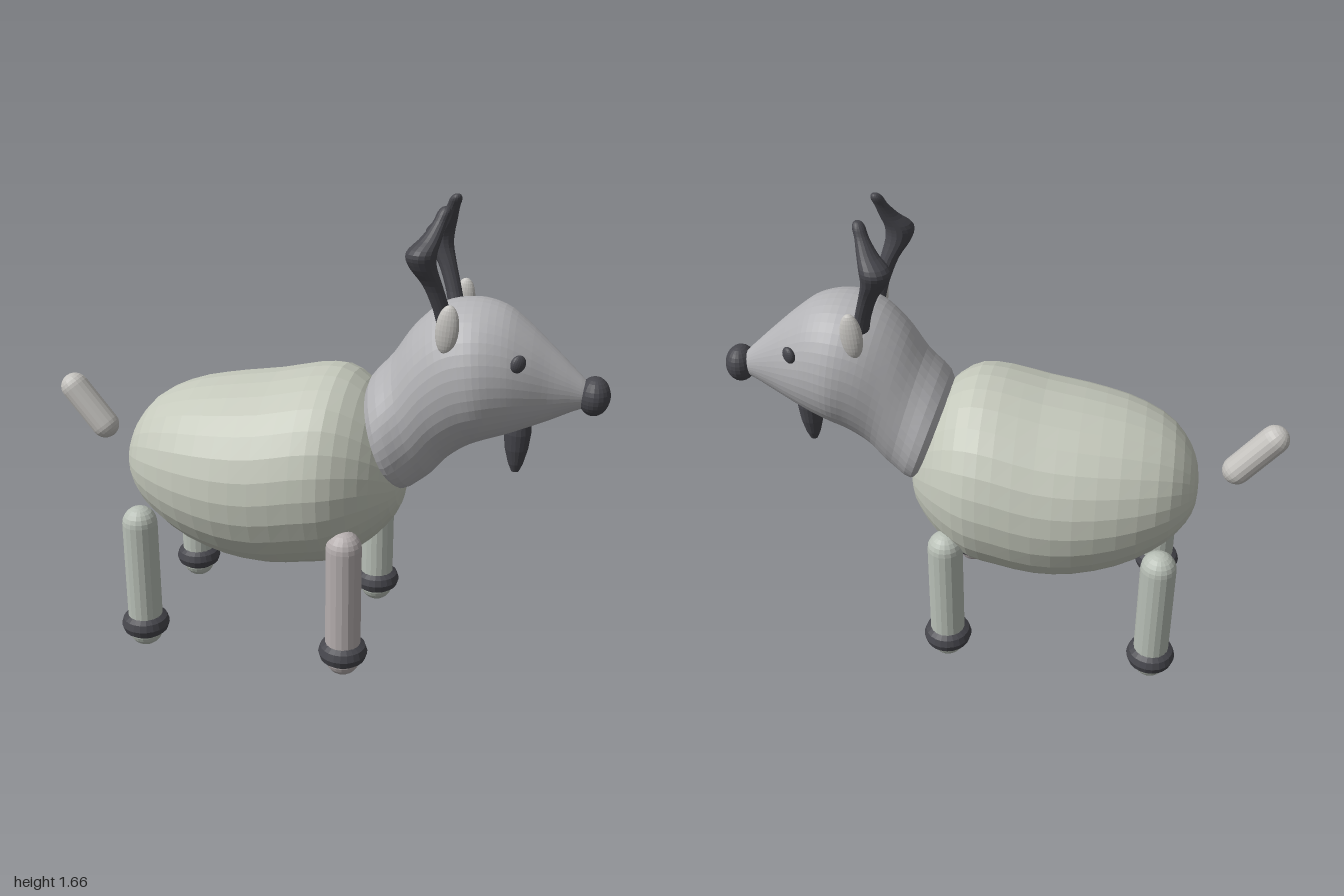
import * as THREE from 'three';

const paint = (color) => new THREE.MeshStandardMaterial({ color, flatShading: true });
const fleece = paint(0xc4c8bb), skin = paint(0xb2b2b5), dark = paint(0x46464c);
const pale = paint(0xc4c2be), rosy = paint(0xb5aeae), sage = paint(0xb8bfb6);

function add(parent, name, geometry, material, position = [0, 0, 0], rotation = [0, 0, 0], scale = [1, 1, 1]) {
  const mesh = new THREE.Mesh(geometry, material);
  mesh.name = name;
  mesh.position.set(...position);
  mesh.rotation.set(...rotation);
  mesh.scale.set(...scale);
  parent.add(mesh);
  return mesh;
}

// Smooth skin over elliptical rings: [topX, topY, bottomX, bottomY, halfWidth, centreZ]
function loft(rings, along, around) {
  const top = new THREE.CatmullRomCurve3(rings.map(r => new THREE.Vector3(r[0], r[1], r[4])), false, 'catmullrom');
  const bottom = new THREE.CatmullRomCurve3(rings.map(r => new THREE.Vector3(r[2], r[3], r[5] || 0)), false, 'catmullrom');
  const points = [], index = [];
  for (let i = 0; i <= along; i++) {
    const t = top.getPoint(i / along), b = bottom.getPoint(i / along);
    for (let j = 0; j < around; j++) {
      const a = j / around * Math.PI * 2, k = Math.cos(a) / 2;
      points.push((t.x + b.x) / 2 + (t.x - b.x) * k, (t.y + b.y) / 2 + (t.y - b.y) * k, b.z + t.z * Math.sin(a));
      if (i === along) continue;
      const p = i * around + j, q = i * around + (j + 1) % around;
      index.push(p, q, p + around, q, q + around, p + around);
    }
  }
  const geometry = new THREE.BufferGeometry();
  geometry.setAttribute('position', new THREE.Float32BufferAttribute(points, 3));
  geometry.setIndex(index);
  geometry.computeVertexNormals();
  return geometry;
}

export function createModel() {
  const model = new THREE.Group();
  model.name = 'hornedAnimal';

  // Barrel-shaped body with a raised shoulder
  add(model, 'body', loft([
    [-0.708, 0.67, -0.708, 0.67, 0],
    [-0.7, 0.74, -0.7, 0.6, 0.09],
    [-0.665, 0.82, -0.665, 0.53, 0.17],
    [-0.59, 0.9, -0.59, 0.455, 0.255],
    [-0.46, 0.96, -0.46, 0.375, 0.325],
    [-0.3, 0.995, -0.3, 0.325, 0.37],
    [-0.15, 1.02, -0.15, 0.31, 0.382],
    [0, 1.055, 0, 0.33, 0.375],
    [0.1, 1.055, 0.1, 0.35, 0.355],
    [0.19, 0.995, 0.19, 0.41, 0.295],
    [0.255, 0.9, 0.26, 0.48, 0.22],
    [0.305, 0.78, 0.31, 0.56, 0.13],
    [0.322, 0.66, 0.322, 0.66, 0],
  ], 26, 28), fleece);

  // Neck and head in one flowing form, tapering to the muzzle
  add(model, 'neckAndHead', loft([
    [0.245, 0.825, 0.245, 0.825, 0],
    [0.18, 1.0, 0.31, 0.65, 0.2],
    [0.27, 1.13, 0.4, 0.69, 0.2],
    [0.34, 1.235, 0.47, 0.77, 0.205],
    [0.43, 1.315, 0.54, 0.825, 0.22],
    [0.54, 1.34, 0.6, 0.855, 0.225],
    [0.64, 1.32, 0.67, 0.88, 0.195],
    [0.72, 1.265, 0.73, 0.905, 0.155],
    [0.8, 1.195, 0.8, 0.935, 0.105],
    [0.87, 1.13, 0.87, 0.97, 0.065],
    [0.93, 1.07, 0.93, 1.0, 0.03],
    [0.94, 1.035, 0.94, 1.035, 0],
  ], 44, 40), skin);

  const ball = new THREE.SphereGeometry(1, 20, 14);
  add(model, 'nose', ball, dark, [0.947, 1.033, 0], [0, 0, 0], [0.053, 0.067, 0.065]);

  // Pointed beard under the chin
  const beard = [[0, 0.73], [0.013, 0.735], [0.026, 0.765], [0.04, 0.82], [0.047, 0.88], [0.045, 0.92], [0.03, 0.95], [0, 0.96]];
  add(model, 'beard', new THREE.LatheGeometry(beard.map(p => new THREE.Vector2(...p)), 18), dark, [0.704, 0, 0]);

  // Horn centre line: [x, y, z, radius]
  const horn = [
    [0.465, 1.25, 0.11, 0], [0.464, 1.255, 0.112, 0.027], [0.445, 1.33, 0.13, 0.028], [0.418, 1.41, 0.15, 0.032],
    [0.388, 1.475, 0.172, 0.045], [0.384, 1.52, 0.178, 0.05], [0.41, 1.565, 0.156, 0.034],
    [0.43, 1.61, 0.133, 0.023], [0.441, 1.64, 0.12, 0.021], [0.445, 1.655, 0.115, 0.012], [0.446, 1.658, 0.115, 0],
  ];
  const legShape = new THREE.CapsuleGeometry(0.063, 0.434, 6, 18);
  const band = new THREE.TorusGeometry(0.046, 0.042, 10, 22);

  for (const side of [1, -1]) {
    const label = side > 0 ? 'nearSide' : 'farSide';
    add(model, label + 'Eye', ball, dark, [0.705, 1.175, side * 0.163], [0, side * 0.55, -0.3], [0.026, 0.03, 0.016]);
    add(model, label + 'Ear', ball, pale, [0.475, 1.277, side * 0.182], [0, 0, -0.08], [0.038, 0.082, 0.023]);
    add(model, label + 'Horn', loft(horn.map(([x, y, z, r]) => [x - r, y, x + r, y, r, side * z]), 36, 16), dark);

    // Legs with a dark band just above each rounded foot
    for (const [end, x] of [['Front', 0.165], ['Rear', -0.59]]) {
      const leg = new THREE.Group();
      leg.name = label + end + 'Leg';
      leg.position.set(x, 0, side * 0.277);
      add(leg, 'leg', legShape, side > 0 && end === 'Front' ? rosy : sage, [0, 0.282, 0]);
      add(leg, 'hoofBand', band, dark, [0, 0.092, 0], [Math.PI / 2, 0, 0]);
      model.add(leg);
    }
  }

  // Upright tail floating just behind the body
  add(model, 'tail', new THREE.CapsuleGeometry(0.052, 0.18, 6, 18), pale, [-0.892, 0.82, 0], [0, 0, 0.68]);
  return model;
}
